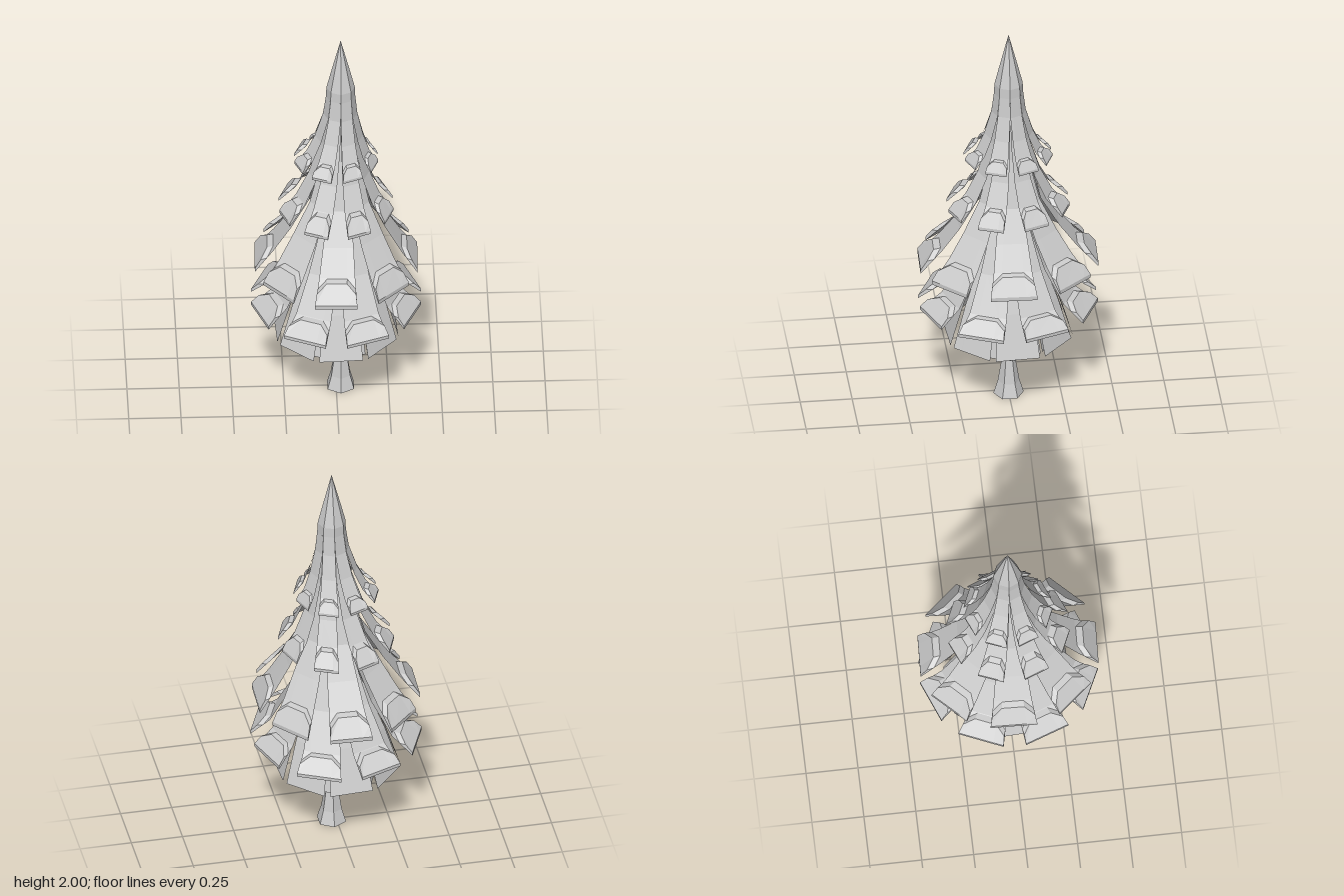
import * as THREE from 'three';

const BOUGHS = 8;
const AXIS = 0.022; // the stem stands slightly off the centre of the foliage
const CROWN = 0.07; // radius of the crown where the boughs leave it

const material = new THREE.MeshStandardMaterial({
  color: 0xcccccc, flatShading: true, side: THREE.DoubleSide,
});

// One drooping bough: rows of four points swept down a profile of
// [radius, height, halfWidth], with an optional raised pad at the tip.
function boughGeometry(profile, pad) {
  const cols = [-1, -0.55, 0.55, 1];
  const pos = [];
  const rows = [];
  const n = profile.length;
  const [r0, y0, w0] = profile[n - 2];
  const [r1, y1, w1] = profile[n - 1];
  const len = Math.hypot(r1 - r0, y1 - y0);
  const nr = (y0 - y1) / len, ny = (r1 - r0) / len;

  const addRow = (fn) => rows.push(cols.map(fn));
  // Point on the tip segment at t, lifted along its normal by h
  const tip = (c, t, h) => [
    c * (w0 + (w1 - w0) * t), y0 + (y1 - y0) * t + ny * h, r0 + (r1 - r0) * t + nr * h,
  ];
  const quad = (a, b, c, d) => pos.push(...a, ...b, ...c, ...a, ...c, ...d);

  profile.forEach(([r, y, w]) => addRow((c) => [c * w, y, r]));
  if (pad) {
    const start = (c) => (Math.abs(c) === 1 ? 0.36 : 0.03);
    addRow((c) => [c * w1, y1 + pad, r1]);
    addRow((c) => tip(c, start(c) + 0.18, pad));
    addRow((c) => tip(c, start(c), 0));
  }
  for (let i = 0; i < rows.length - 1; i++) {
    for (let j = 0; j < 3; j++) {
      quad(rows[i][j], rows[i + 1][j], rows[i + 1][j + 1], rows[i][j + 1]);
    }
  }
  if (pad) {
    // Side walls of the pad
    const [end, lip, top, base] = rows.slice(n - 1);
    quad(base[0], top[0], lip[0], end[0]);
    quad(end[3], lip[3], top[3], base[3]);
  }
  const geometry = new THREE.BufferGeometry();
  geometry.setAttribute('position', new THREE.Float32BufferAttribute(pos, 3));
  return geometry;
}

// A ring of eight boughs; the ring stays on the stem at its root and
// shifts to the centre of the tree at its tips.
function tier({ name, profile, pad = 0, turn = 0, sx = 1, sz = 1 }) {
  const group = new THREE.Group();
  group.name = name;
  const reach = profile[profile.length - 1][0];
  for (let i = 0; i < BOUGHS; i++) {
    const geometry = boughGeometry(profile, pad);
    geometry.rotateY(turn + (i / BOUGHS) * Math.PI * 2);
    const p = geometry.attributes.position;
    for (let k = 0; k < p.count; k++) {
      const x = p.getX(k), z = p.getZ(k);
      const t = THREE.MathUtils.clamp((Math.hypot(x, z) - CROWN) / (reach - CROWN), 0, 1);
      p.setX(k, x * (1 + (sx - 1) * t) + AXIS * (1 - t));
      p.setZ(k, z * (1 + (sz - 1) * t));
    }
    geometry.computeVertexNormals();
    const bough = new THREE.Mesh(geometry, material);
    bough.name = 'bough';
    group.add(bough);
  }
  return group;
}

function lathe(name, points, sides) {
  const geometry = new THREE.LatheGeometry(points.map(([r, y]) => new THREE.Vector2(r, y)), sides);
  const mesh = new THREE.Mesh(geometry, material);
  mesh.name = name;
  mesh.position.x = AXIS;
  return mesh;
}

export function createModel() {
  const tree = new THREE.Group();
  tree.name = 'firTree';
  const half = Math.PI / 8;

  // Stem and pointed crown
  tree.add(lathe('trunk', [[0.073, 0], [0.052, 0.07], [0.033, 0.19], [0.03, 0.32], [0.03, 1.2]], 6));
  tree.add(lathe('crown', [[CROWN, 1.68], [0.068, 1.73], [0.046, 1.82], [0, 2]], BOUGHS));

  // Boughs from the top down: [radius, height, halfWidth]
  const tiers = [
    { name: 'topTier', turn: half, pad: 0.013, sz: 1.05,
      profile: [[0.0647, 1.68, 0.0268], [0.076, 1.58, 0.031], [0.11, 1.46, 0.036], [0.145, 1.378, 0.042], [0.196, 1.312, 0.05]] },
    { name: 'upperTier', turn: half, pad: 0.016, sz: 1.07,
      profile: [[0.06, 1.6, 0.025], [0.09, 1.42, 0.034], [0.14, 1.25, 0.043], [0.195, 1.135, 0.051], [0.27, 1.042, 0.06]] },
    { name: 'middleTier', turn: -0.035, pad: 0.02, sx: 0.91,
      profile: [[0.058, 1.65, 0.024], [0.085, 1.35, 0.036], [0.15, 1.11, 0.056], [0.24, 0.96, 0.077], [0.325, 0.845, 0.092], [0.427, 0.732, 0.112]] },
    { name: 'lowerTier', turn: half - 0.03, pad: 0.017, sz: 1.05,
      profile: [[0.06, 1.3, 0.026], [0.11, 1.0, 0.047], [0.2, 0.76, 0.072], [0.298, 0.587, 0.09], [0.395, 0.504, 0.108]] },
    { name: 'underTier', turn: 0.05, sz: 1.02,
      profile: [[0.05, 1.1, 0.025], [0.13, 0.82, 0.054], [0.225, 0.56, 0.085], [0.29, 0.34, 0.105]] },
    { name: 'innerTier', turn: half, sz: 1.04,
      profile: [[0.04, 0.95, 0.02], [0.11, 0.65, 0.045], [0.155, 0.45, 0.06], [0.185, 0.28, 0.07]] },
  ];
  tiers.forEach((t) => tree.add(tier(t)));
  return tree;
}
